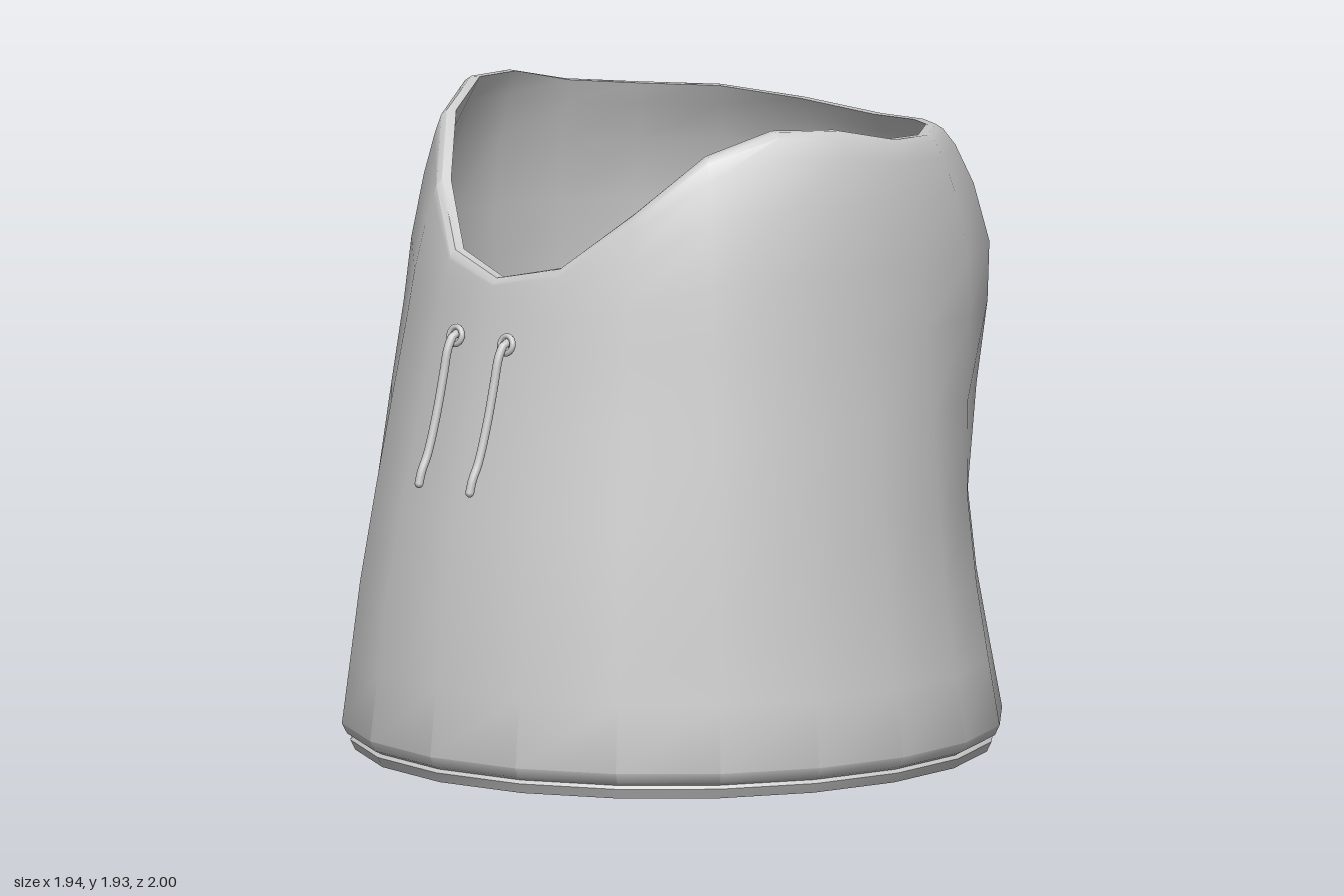
import * as THREE from 'three';
import { toCreasedNormals } from 'three/addons/utils/BufferGeometryUtils.js';

const SIDES = 20;
const material = new THREE.MeshStandardMaterial({ color: 0xcccccc, side: THREE.DoubleSide });

// Wall radius by height [y, r] at the front, the sides and the back
const FRONT = [[0, 0.96], [0.08, 1], [0.5, 0.95], [0.9, 0.87], [1.2, 0.8], [1.48, 0.74], [1.94, 0.57]];
const SIDE = [[0, 0.93], [0.08, 0.97], [0.45, 0.915], [1, 0.86], [1.25, 0.83], [1.55, 0.81], [1.75, 0.785], [1.87, 0.745], [1.94, 0.7]];
const BACK = [[0, 0.94], [0.08, 0.975], [0.5, 0.89], [0.77, 0.86], [1.05, 0.92], [1.3, 0.985], [1.48, 1], [1.6, 0.96], [1.73, 0.9], [1.8, 0.83], [1.94, 0.7]];
// Neckline height, from the front middle round to the back middle
const RIM = [1.48, 1.53, 1.7, 1.87, 1.935, 1.92, 1.865, 1.84, 1.83, 1.8, 1.775];

function sample(keys, y) {
  let i = 1;
  while (i < keys.length - 1 && y > keys[i][0]) i++;
  const [y0, r0] = keys[i - 1], [y1, r1] = keys[i];
  return r0 + (r1 - r0) * (y - y0) / (y1 - y0);
}

function radius(y, angle) {
  const c = Math.cos(angle);
  return sample(SIDE, y) * (1 - c * c) + sample(c > 0 ? FRONT : BACK, y) * c * c;
}

// One closed cross-section of the wall: up the outside, over the neckline, down the inside
function wallSection(i) {
  const angle = i / SIDES * Math.PI * 2;
  const rim = RIM[Math.min(i, SIDES - i)];
  const levels = [0.08, 0.28, 0.5, 0.77, 1.05, 1.3];
  for (const t of [0.33, 0.66, 0.88]) levels.push(1.3 + (rim - 1.3) * t);
  const at = (y, inset) => [radius(y, angle) - inset, y];
  const section = [
    at(0, 0), at(0.03, 0), at(0.04, 0.014), at(0.05, 0),
    ...levels.map((y) => at(y, 0)),
    at(rim - 0.015, 0), at(rim, 0.012), at(rim, 0.04),
    ...levels.slice().reverse().map((y) => at(y, y > 1.3 ? 0.05 : 0.06)),
    at(0, 0.045),
  ];
  return section.map(([r, y]) => [r * Math.sin(angle), y, r * Math.cos(angle)]);
}

function bodyGeometry() {
  const positions = [], index = [];
  let n = 0;
  for (let i = 0; i < SIDES; i++) {
    const section = wallSection(i);
    n = section.length;
    positions.push(...section.flat());
  }
  for (let i = 0; i < SIDES; i++) {
    for (let j = 0; j < n; j++) {
      const k = (i + 1) % SIDES, m = (j + 1) % n;
      const a = i * n + j, b = k * n + j, c = k * n + m, d = i * n + m;
      index.push(a, b, c, a, c, d);
    }
  }
  const geometry = new THREE.BufferGeometry();
  geometry.setAttribute('position', new THREE.Float32BufferAttribute(positions, 3));
  geometry.setIndex(index);
  return toCreasedNormals(geometry, 0.65);
}

function drawstring(name, x) {
  const group = new THREE.Group();
  group.name = name;
  group.position.x = x;

  const eyelet = new THREE.Mesh(new THREE.TorusGeometry(0.026, 0.009, 8, 16), material);
  eyelet.name = 'eyelet';
  eyelet.position.set(0, 1.3, 0.785);
  eyelet.rotation.x = -0.22;
  group.add(eyelet);

  // Cord comes out of the eyelet, bends over and hangs away from the cloth
  const path = new THREE.CatmullRomCurve3([
    [1.295, 0.75], [1.305, 0.79], [1.27, 0.815], [1.19, 0.835], [1.08, 0.862], [0.96, 0.9], [0.91, 0.925], [0.875, 0.935],
  ].map(([y, z]) => new THREE.Vector3(0, y, z)));
  const cord = new THREE.Mesh(new THREE.TubeGeometry(path, 28, 0.013, 8), material);
  cord.name = 'cord';
  group.add(cord);

  // Rounded cord end
  const tip = new THREE.Mesh(new THREE.SphereGeometry(0.013, 8, 6), material);
  tip.name = 'cordTip';
  tip.position.copy(path.getPoint(1));
  group.add(tip);
  return group;
}

export function createModel() {
  const model = new THREE.Group();
  model.name = 'garmentBody';
  const body = new THREE.Mesh(bodyGeometry(), material);
  body.name = 'torso';
  model.add(body);
  model.add(drawstring('leftDrawstring', 0.1), drawstring('rightDrawstring', -0.115));
  return model;
}
